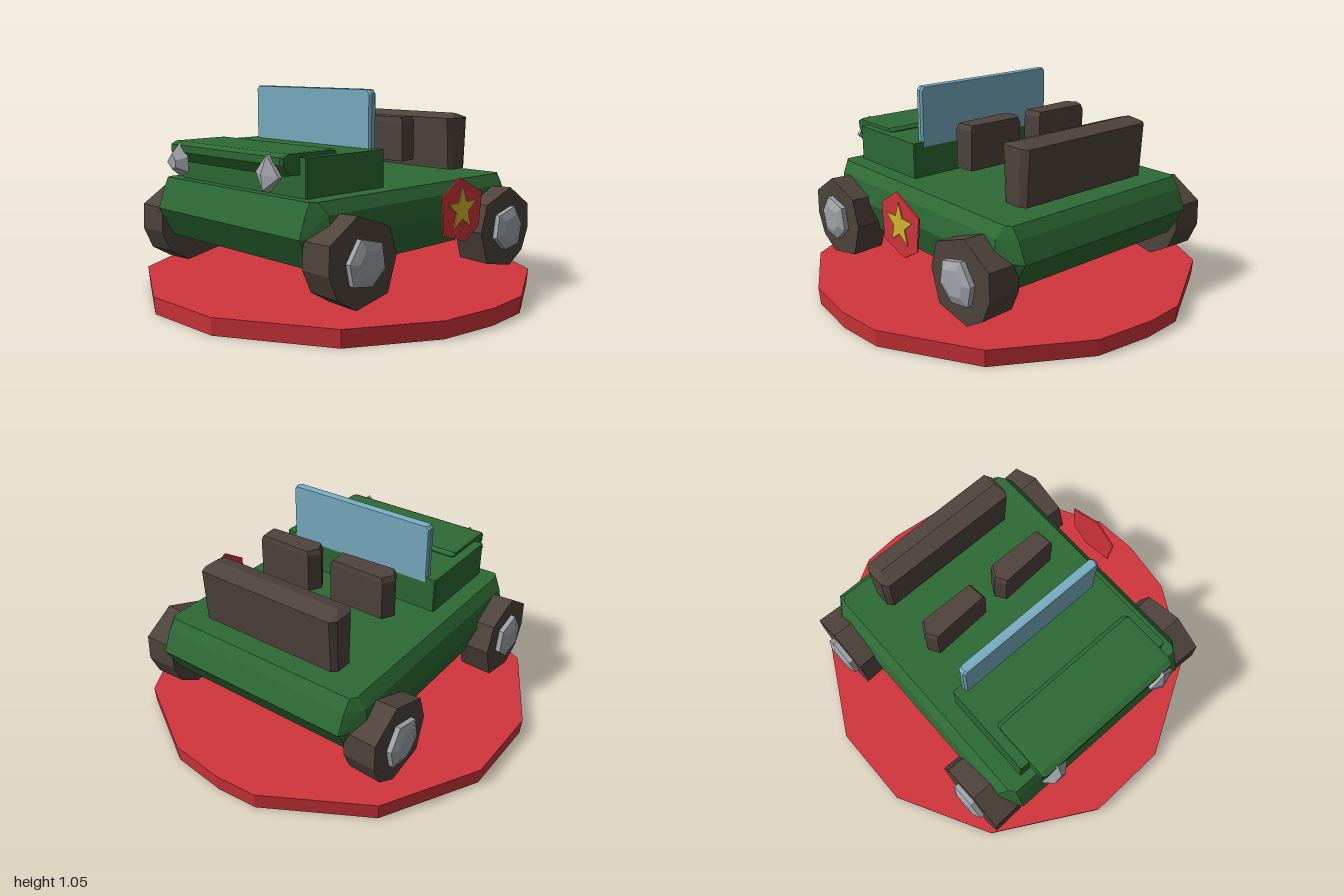
import * as THREE from 'three';
import { ConvexGeometry } from 'three/addons/geometries/ConvexGeometry.js';

function mat(name, color) {
  const m = new THREE.MeshStandardMaterial({ color, flatShading: true });
  m.name = name;
  return m;
}

// Each layer is [outline, position, scale, centre]; outlines are mapped to 3D by axis.
const toAxis = {
  x: (a, b, p) => new THREE.Vector3(p, b, a), // outline in z, y
  y: (a, b, p) => new THREE.Vector3(a, p, b), // outline in x, z
  z: (a, b, p) => new THREE.Vector3(a, b, p), // outline in x, y
};

function loft(axis, ...layers) {
  const pts = [];
  for (const [outline, p, s = 1, c = [0, 0]] of layers) {
    for (const [a, b] of outline) pts.push(toAxis[axis](c[0] + (a - c[0]) * s, c[1] + (b - c[1]) * s, p));
  }
  return new ConvexGeometry(pts);
}

// Rectangle with cut corners
function cutRect(x0, x1, z0, z1, cx, cz) {
  return [[x0 + cx, z0], [x1 - cx, z0], [x1, z0 + cz], [x1, z1 - cz],
    [x1 - cx, z1], [x0 + cx, z1], [x0, z1 - cz], [x0, z0 + cz]];
}

export function createModel() {
  const red = mat('red', 0xd2353b);
  const green = mat('green', 0x2d6a35);
  const brown = mat('darkBrown', 0x50443d);
  const blue = mat('glassBlue', 0x78adc2);
  const grey = mat('grey', 0xa0a5aa);
  const yellow = mat('yellow', 0xd4b82c);

  const model = new THREE.Group();
  model.name = 'offRoadCar';
  function add(name, geometry, material) {
    const mesh = new THREE.Mesh(geometry, material);
    mesh.name = name;
    model.add(mesh);
    return mesh;
  }

  // Display disc
  const disc = [[-0.22, 1], [0.22, 0.99], [0.73, 0.7], [0.96, 0.3], [1, 0], [0.98, -0.25], [0.72, -0.71],
    [0.28, -0.965], [-0.02, -1], [-0.24, -0.985], [-0.74, -0.7], [-1, -0.22], [-1, 0.23], [-0.74, 0.71]];
  add('baseDisc', loft('y', [disc, 0, 0.993], [disc, 0.085]), red);

  // Tub, widest at mid height
  add('body', loft('y',
    [cutRect(-0.58, 0.56, -0.66, 0.66, 0.03, 0.05), 0.285],
    [cutRect(-0.63, 0.61, -0.755, 0.75, 0.08, 0.12), 0.435],
    [cutRect(-0.61, 0.59, -0.71, 0.715, 0.06, 0.08), 0.535],
    [cutRect(-0.57, 0.55, -0.67, 0.69, 0.02, 0.03), 0.59]), green);

  // Engine block and overhanging hood lid
  add('hoodBlock', loft('y',
    [cutRect(-0.48, 0.462, 0.15, 0.645, 0.006, 0.006), 0.58],
    [cutRect(-0.48, 0.462, 0.15, 0.645, 0.006, 0.006), 0.77]), green);
  const lid = [[0.41, 0.775], [0.43, 0.79], [0.72, 0.79], [0.75, 0.775], [0.75, 0.74], [0.715, 0.69], [0.43, 0.69]];
  add('hoodLid', loft('x', [lid, -0.43, 0.93, [0.58, 0.74]], [lid, -0.415], [lid, 0.405],
    [lid, 0.42, 0.93, [0.58, 0.74]]), green);

  // Windshield
  const glass = [[-0.43, 0.74], [0.41, 0.74], [0.41, 1.03], [0.395, 1.05], [-0.415, 1.05], [-0.43, 1.035]];
  const mid = [-0.01, 0.9];
  add('windshield', loft('z', [glass, 0.15, 0.98, mid], [glass, 0.163], [glass, 0.183],
    [glass, 0.195, 0.98, mid]), blue);

  // Front seat backs, pointed at one end
  const seatPlan = [[-0.42, -0.12], [-0.385, -0.065], [-0.07, -0.08], [-0.08, -0.18], [-0.385, -0.185]];
  for (const [name, dx] of [['rightFrontSeat', 0], ['leftFrontSeat', 0.44]]) {
    const seat = add(name, loft('y', [seatPlan, 0.685], [seatPlan, 0.88],
      [seatPlan, 0.905, 0.93, [-0.24, -0.125]]), brown);
    seat.position.x = dx;
  }

  // Rear bench back, narrower at the foot
  const bench = [[-0.41, -0.57], [-0.385, -0.6], [0.37, -0.6], [0.39, -0.56], [0.39, -0.46], [0.375, -0.43],
    [-0.385, -0.435], [-0.41, -0.47]];
  const benchFoot = bench.map(([x, z]) => [x, -0.515 + (z + 0.515) * 0.82]);
  const benchRidge = [[-0.37, -0.515], [0.36, -0.515]];
  add('rearSeat', loft('y', [benchFoot, 0.61], [bench, 0.882], [benchRidge, 0.907]), brown);

  // Faceted wheels with chunky hubs
  const tyre = [[0.2, 0.1], [0.035, 0.205], [-0.165, 0.135], [-0.21, 0], [-0.155, -0.165],
    [0.045, -0.205], [0.155, -0.14], [0.205, -0.03]];
  const hub = [[0.04, 0.108], [-0.09, 0.075], [-0.11, -0.04], [-0.03, -0.108], [0.085, -0.09], [0.108, 0.01]];
  for (const [end, z, flip] of [['front', 0.535, 1], ['rear', -0.515, -1]]) {
    for (const [hand, side] of [['Left', 1], ['Right', -1]]) {
      const shift = ([a, b]) => [z + a * flip, 0.335 + b];
      const ring = tyre.map(shift), cap = hub.map(shift), c = [z, 0.335];
      const x = (d) => side * d - 0.01;
      add(end + hand + 'Wheel', loft('x', [ring, x(0.54), 0.97, c], [ring, x(0.71)]), brown);
      add(end + hand + 'Hub', loft('x', [cap, x(0.7)], [cap, x(0.735)], [cap, x(0.752), 0.6, c]), grey);
    }
  }

  // Faceted headlights
  const lampR = [[-0.345, 0.79], [-0.44, 0.69], [-0.35, 0.62], [-0.28, 0.645], [-0.28, 0.72]];
  add('rightHeadlight', loft('z', [lampR, 0.745], [lampR, 0.79, 0.45, [-0.36, 0.69]]), grey);
  const lampL = [[0.34, 0.785], [0.265, 0.705], [0.34, 0.62], [0.42, 0.69]];
  add('leftHeadlight', loft('z', [lampL, 0.745], [lampL, 0.765], [[[0.34, 0.63], [0.33, 0.7]], 0.79]), grey);

  // Side badge with a star
  const badge = [[-0.085, 0.64], [0.045, 0.555], [0.03, 0.375], [-0.135, 0.325], [-0.24, 0.39], [-0.26, 0.555]];
  add('badge', loft('x', [badge, 0.722], [badge, 0.73]), red);
  const starShape = new THREE.Shape(Array.from({ length: 10 }, (_, i) => {
    const r = i % 2 ? 0.045 : 0.11, a = Math.PI / 2 + i * Math.PI / 5;
    return new THREE.Vector2(r * Math.cos(a), r * Math.sin(a));
  }));
  const star = add('badgeStar', new THREE.ExtrudeGeometry(starShape, { depth: 0.006, bevelEnabled: false }), yellow);
  star.rotation.y = Math.PI / 2;
  star.position.set(0.729, 0.485, -0.105);

  return model;
}
